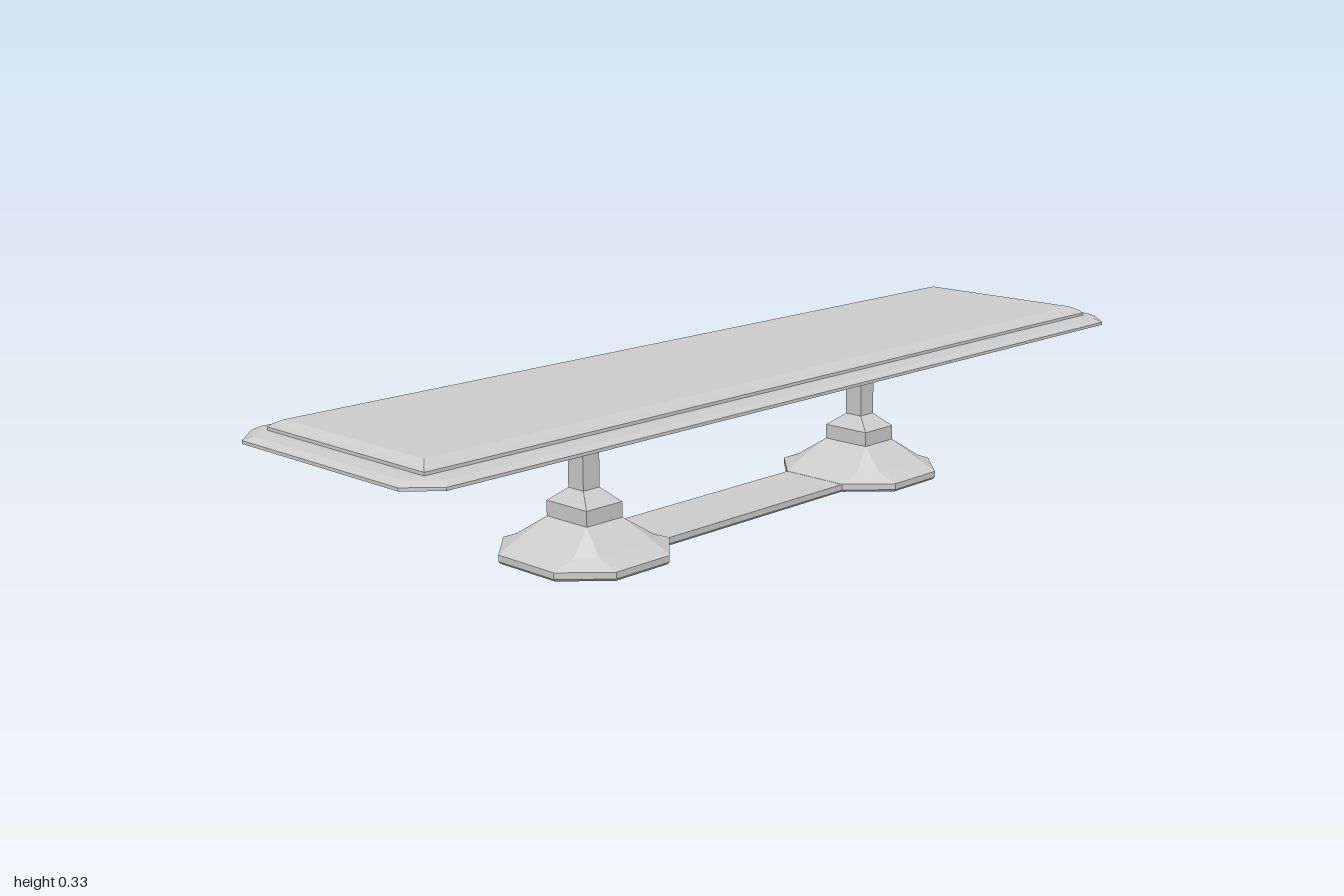
import * as THREE from 'three';

const material = new THREE.MeshStandardMaterial({ color: 0xcccccc, flatShading: true });

// Rectangle with cut corners; a cut of 0 leaves a plain rectangle
function ring([y, hx, hz, cut = 0]) {
  const a = hx - cut, b = hz - cut;
  return [[hx, b], [a, hz], [-a, hz], [-hx, b], [-hx, -b], [-a, -hz], [a, -hz], [hx, -b]]
    .map(([x, z]) => new THREE.Vector3(x, y, z));
}

// Closed solid through a stack of sections [y, halfX, halfZ, cut], bottom to top
function loft(name, sections) {
  const rings = sections.map(ring);
  const points = [];
  const tri = (a, b, c) => {
    if (a.distanceTo(b) > 1e-6 && b.distanceTo(c) > 1e-6 && c.distanceTo(a) > 1e-6) points.push(a, b, c);
  };
  for (let r = 0; r < rings.length - 1; r++) {
    const lo = rings[r], hi = rings[r + 1];
    for (let i = 0; i < 8; i++) {
      const j = (i + 1) % 8;
      tri(lo[i], hi[i], hi[j]);
      tri(lo[i], hi[j], lo[j]);
    }
  }
  const bottom = rings[0], top = rings[rings.length - 1];
  for (let i = 1; i < 7; i++) {
    tri(bottom[0], bottom[i], bottom[i + 1]);
    tri(top[0], top[i + 1], top[i]);
  }
  const geometry = new THREE.BufferGeometry().setFromPoints(points);
  geometry.computeVertexNormals();
  const mesh = new THREE.Mesh(geometry, material);
  mesh.name = name;
  return mesh;
}

export function createModel() {
  const model = new THREE.Group();
  model.name = 'bench';

  // Seat slab with cut corners and a thin bevelled rim
  model.add(loft('seatSlab', [
    [0.284, 0.945, 0.22, 0.035],
    [0.294, 1.0, 0.273, 0.054],
    [0.3, 1.0, 0.273, 0.054],
    [0.307, 0.985, 0.26, 0.05],
    [0.309, 0.965, 0.235, 0.03],
  ]));

  // Raised square-cornered pad on top
  model.add(loft('seatPad', [
    [0.305, 0.948, 0.22],
    [0.315, 0.948, 0.22],
    [0.321, 0.942, 0.212],
    [0.329, 0.928, 0.195],
  ]));

  // Two pedestals: eight-sided foot, square collar and slim post
  for (const [side, label] of [[1, 'left'], [-1, 'right']]) {
    const pedestal = new THREE.Group();
    pedestal.name = label + 'Pedestal';
    pedestal.add(
      loft('foot', [
        [0, 0.146, 0.155, 0.079],
        [0.005, 0.15, 0.159, 0.081],
        [0.018, 0.15, 0.159, 0.081],
        [0.035, 0.105, 0.116, 0.034],
        [0.077, 0.046, 0.056],
      ]),
      loft('collar', [
        [0.077, 0.046, 0.056],
        [0.108, 0.046, 0.056],
        [0.135, 0.021, 0.021],
      ]),
      loft('post', [
        [0.13, 0.021, 0.021],
        [0.29, 0.021, 0.021],
      ]),
    );
    pedestal.position.set(side * 0.41 + 0.008, 0, -0.003);
    model.add(pedestal);
  }

  // Flat plank joining the feet
  const plank = loft('footPlank', [
    [0, 0.266, 0.074],
    [0.005, 0.266, 0.078],
    [0.0175, 0.266, 0.078],
  ]);
  plank.position.set(0.008, 0, -0.003);
  model.add(plank);

  return model;
}
